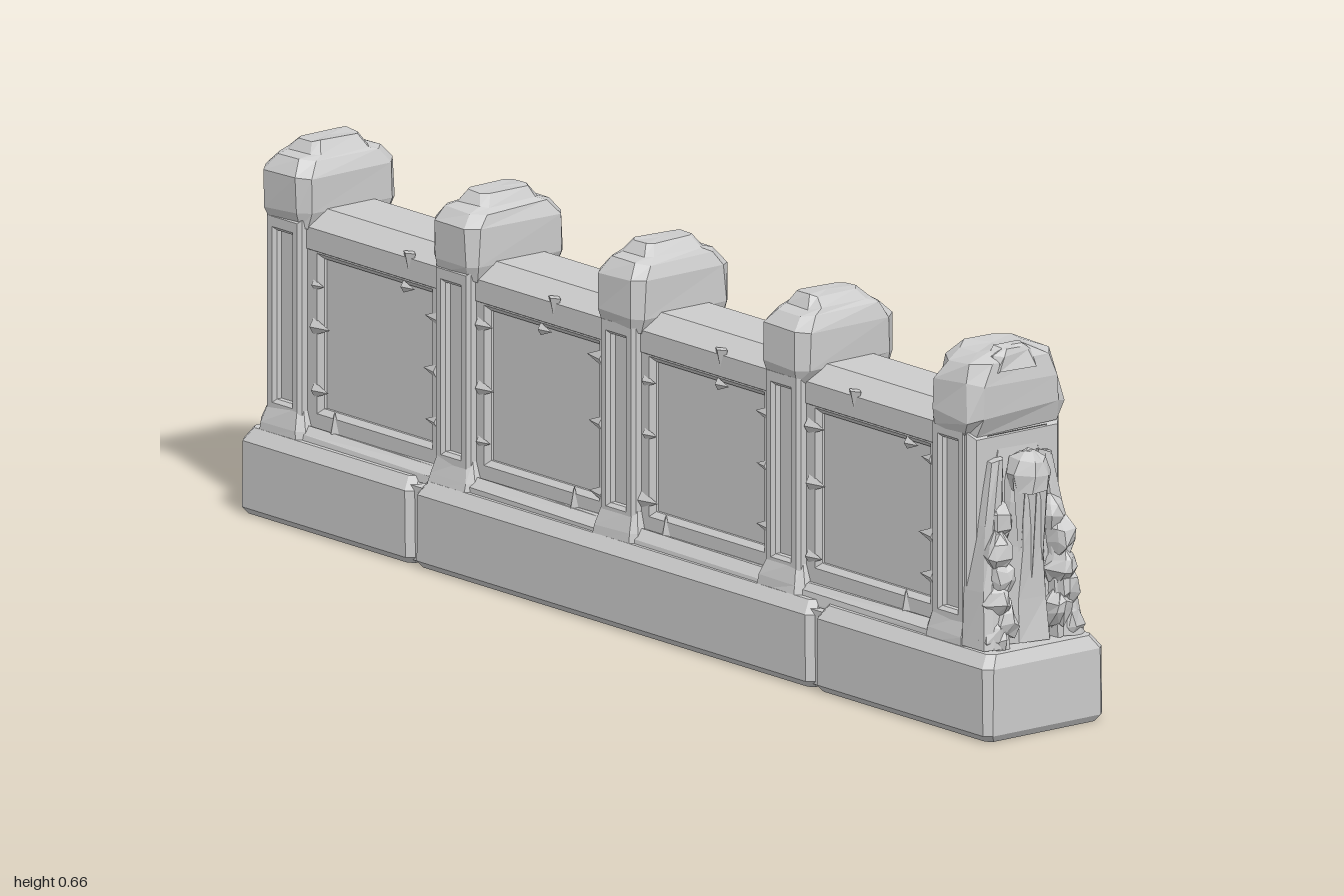
import * as THREE from 'three';

const stone = new THREE.MeshStandardMaterial({ color: 0xcccccc, flatShading: true });
stone.name = 'stone';

export function createModel() {
  const model = new THREE.Group();
  model.name = 'stoneWall';
  let seed = 7;
  const rnd = () => ((seed = (seed * 16807) % 2147483647) / 2147483647) * 2 - 1;

  function add(name, geo, x = 0, y = 0, z = 0, parent = model) {
    const m = new THREE.Mesh(geo, stone);
    m.name = name;
    m.position.set(x, y, z);
    parent.add(m);
    return m;
  }

  // Stacked chamfered rectangles, rows: [y, halfX, halfZ, chamfer, shiftX, shiftZ]
  function loft(rows, wear = 0) {
    const pos = [];
    const rings = rows.map(([y, X, Z, c, dx = 0, dz = 0]) =>
      [[X, Z - c], [X, c - Z], [X - c, -Z], [c - X, -Z], [-X, c - Z], [-X, Z - c], [c - X, Z], [X - c, Z]]
        .map(([x, z]) => [x + dx + rnd() * wear, y + rnd() * wear, z + dz + rnd() * wear]));
    const tri = (...p) => p.forEach(v => pos.push(...v));
    const centre = r => [0, 1, 2].map(k => r.reduce((s, p) => s + p[k], 0) / 8);
    const low = rings[0], high = rings[rings.length - 1];
    for (let i = 0; i < 8; i++) {
      const j = (i + 1) % 8;
      for (let r = 0; r < rings.length - 1; r++) {
        const a = rings[r], b = rings[r + 1];
        tri(a[i], a[j], b[j]);
        tri(a[i], b[j], b[i]);
      }
      tri(centre(high), high[i], high[j]);
      tri(centre(low), low[j], low[i]);
    }
    const g = new THREE.BufferGeometry();
    g.setAttribute('position', new THREE.Float32BufferAttribute(pos, 3));
    g.computeVertexNormals();
    return g;
  }

  // Bevelled rectangular surround facing +z; inner opening given by half width and y range
  function surround(hw, y0, y1, hole, depth, bevel) {
    const rect = (P, w, a, b) => {
      const p = new P();
      p.moveTo(-w, a); p.lineTo(w, a); p.lineTo(w, b); p.lineTo(-w, b); p.closePath();
      return p;
    };
    const s = rect(THREE.Shape, hw, y0, y1);
    s.holes.push(rect(THREE.Path, ...hole));
    return new THREE.ExtrudeGeometry(s, {
      depth: depth - bevel, bevelEnabled: true, bevelSegments: 1,
      bevelSize: bevel, bevelThickness: bevel, bevelOffset: -bevel
    });
  }

  // Plinth of three blocks
  for (const [a, b] of [[-1, -0.54], [-0.534, 0.527], [0.533, 1]]) {
    const h = (b - a) / 2;
    add('plinthBlock', loft([
      [0, 0.12, h - 0.008, 0.01], [0.012, 0.13, h, 0.012],
      [0.128, 0.13, h, 0.014], [0.15, 0.113, h - 0.012, 0.012]
    ]), 0, 0, (a + b) / 2);
  }
  add('plinthCore', new THREE.BoxGeometry(0.236, 0.13, 1.9), 0, 0.072, 0);

  // Wall core with sloped coping
  const half = [[0.07, 0.14], [0.07, 0.47], [0.086, 0.48], [0.086, 0.518], [0.052, 0.546]];
  const outline = [...half, ...half.map(([x, y]) => [-x, y]).reverse()].map(p => new THREE.Vector2(...p));
  add('wallCore', new THREE.ExtrudeGeometry(new THREE.Shape(outline), { depth: 1.77, bevelEnabled: false }), 0, 0, -0.91);

  // Chipped stone sliver: tip direction given by angle in the wall face
  function chip(side, y, z, angle, size) {
    const g = new THREE.ConeGeometry(size * 0.55, size * 1.5, 4);
    g.scale(0.6, 1, 1);
    g.rotateX(angle);
    add('chip', g, side * 0.083, y, z);
  }

  const posts = [0.86, 0.415, -0.025, -0.465, -0.915];

  // Bays: recessed panels framed on both sides
  for (let i = 0; i < 4; i++) {
    const mid = (posts[i] + posts[i + 1]) / 2;
    for (const side of [-1, 1]) {
      const bay = add('panelFrame', surround(0.19, 0.145, 0.52, [0.145, 0.205, 0.467], 0.014, 0.009), side * 0.07, 0, mid);
      bay.rotation.y = side * Math.PI / 2;
      const strip = add('skirting', loft([[0.14, 0.024, 0.18, 0.004], [0.158, 0.02, 0.175, 0.004],
        [0.172, 0.006, 0.17, 0.003]], 0.003), side * 0.084, 0, mid);
      strip.position.z += rnd() * 0.006;
      for (const e of [-1, 1]) {
        for (const y of [0.23, 0.33, 0.43])
          chip(side, y + rnd() * 0.02, mid + e * (0.148 + rnd() * 0.006), -e * Math.PI / 2, 0.024 + rnd() * 0.006);
      }
      chip(side, 0.505, mid + rnd() * 0.1, Math.PI, 0.03);
      chip(side, 0.465, mid + rnd() * 0.12, Math.PI / 2, 0.02);
      chip(side, 0.19, mid + rnd() * 0.12, 0, 0.026);
    }
  }

  // Posts with grooved sides and faceted caps
  posts.forEach((z, i) => {
    const post = new THREE.Group();
    post.name = 'post';
    post.position.z = z;
    model.add(post);
    add('postShaft', loft([[0.14, 0.086, 0.04, 0.006], [0.53, 0.086, 0.04, 0.006]]), 0, 0, 0, post);
    add('postFoot', loft([[0.14, 0.114, 0.062, 0.012], [0.165, 0.11, 0.058, 0.012],
      [0.2, 0.1, 0.046, 0.008]], 0.002), 0, 0, 0, post);
    for (const side of [-1, 1]) {
      const f = add('postFace', surround(0.046, 0.18, 0.53, [0.021, 0.205, 0.5], 0.018, 0.006), side * 0.084, 0, 0, post);
      f.rotation.y = side * Math.PI / 2;
    }
    if (i > 0) add('postCap', loft([
      [0.515, 0.098, 0.05, 0.012], [0.54, 0.106, 0.06, 0.018], [0.605, 0.106, 0.06, 0.02],
      [0.63, 0.088, 0.05, 0.02], [0.636, 0.066, 0.042, 0.014], [0.656, 0.05, 0.026, 0.01]
    ], 0.003), 0, 0, 0, post);
  });

  // Rear end face with tall recessed panel
  const rear = add('rearFrame', surround(0.098, 0.18, 0.53, [0.05, 0.205, 0.495], 0.014, 0.008), 0, 0, -0.95);
  rear.rotation.y = Math.PI;
  add('rearInset', new THREE.BoxGeometry(0.056, 0.25, 0.012), 0, 0.35, -0.955);

  // Worn, broken cap on the front post
  add('brokenCap', loft([
    [0.515, 0.098, 0.055, 0.014, 0, 0.005], [0.545, 0.105, 0.066, 0.02, 0, 0.008],
    [0.6, 0.103, 0.066, 0.024, 0, 0.008], [0.635, 0.088, 0.056, 0.024, 0, 0.006],
    [0.655, 0.05, 0.036, 0.018, -0.01, 0.004]
  ], 0.007), 0, 0, 0.86);
  add('brokenEdge', loft([[0.62, 0.045, 0.02, 0.01], [0.645, 0.04, 0.016, 0.01],
    [0.66, 0.025, 0.01, 0.006]], 0.005), -0.01, 0, 0.912);

  // Front end face, arched surround
  add('frontFrame', surround(0.1, 0.15, 0.52, [0.052, 0.16, 0.5], 0.03, 0.012), 0, 0, 0.89);
  add('frontBacking', loft([[0.15, 0.08, 0.03, 0.01, 0, 0.015], [0.35, 0.07, 0.03, 0.01, 0, 0.008],
    [0.49, 0.05, 0.02, 0.01]], 0.004), 0, 0, 0.9);

  // Draped central relief with peaked hood
  add('drape', loft([
    [0.15, 0.05, 0.04, 0.02], [0.23, 0.045, 0.034, 0.018], [0.32, 0.042, 0.034, 0.018],
    [0.4, 0.036, 0.036, 0.018], [0.45, 0.024, 0.032, 0.014]
  ], 0.005), 0, 0, 0.925);
  add('hood', loft([
    [0.415, 0.034, 0.03, 0.016, 0, 0.004], [0.445, 0.036, 0.036, 0.02], [0.468, 0.026, 0.03, 0.014],
    [0.482, 0.01, 0.012, 0.005]
  ], 0.004), 0, 0, 0.947);
  for (const [x, y, h] of [[0, 0.32, 0.2], [-0.024, 0.36, 0.16], [0.024, 0.35, 0.17]]) {
    const fold = new THREE.ConeGeometry(0.015, h, 4);
    fold.rotateX(Math.PI);
    add('drapeFold', fold, x, y, 0.957);
  }

  // Rough rocks stacked up both sides of the relief
  const rocks = [[0.078, 0.175, 0.95, 0.03], [0.06, 0.2, 0.955, 0.026], [0.075, 0.235, 0.952, 0.028],
    [0.066, 0.275, 0.955, 0.026], [0.07, 0.32, 0.95, 0.028], [0.055, 0.365, 0.935, 0.026]];
  for (const side of [-1, 1]) {
    for (const [x, y, z, r] of rocks) {
      const k = r * 0.8;
      const rock = add('rock', loft([[-r * 1.1, k * 0.6, k * 0.7, k * 0.25], [-r * 0.3, k, k * 1.2, k * 0.4],
        [r * 0.5, k * 0.85, k, k * 0.4], [r * 1.2, k * 0.4, k * 0.4, k * 0.15]], 0.005), side * x, y, z);
      rock.rotation.y = side * (0.4 + rnd() * 0.3);
    }
    // Sloping buttress joining rocks to the end face
    add('buttress', loft([[0.15, 0.03, 0.04, 0.012, side * 0.078, 0.02], [0.25, 0.024, 0.034, 0.01, side * 0.075, 0.014],
      [0.36, 0.018, 0.026, 0.008, side * 0.068, 0.008], [0.47, 0.012, 0.018, 0.005, side * 0.052, 0.004]], 0.004), 0, 0, 0.915);
  }
  return model;
}
